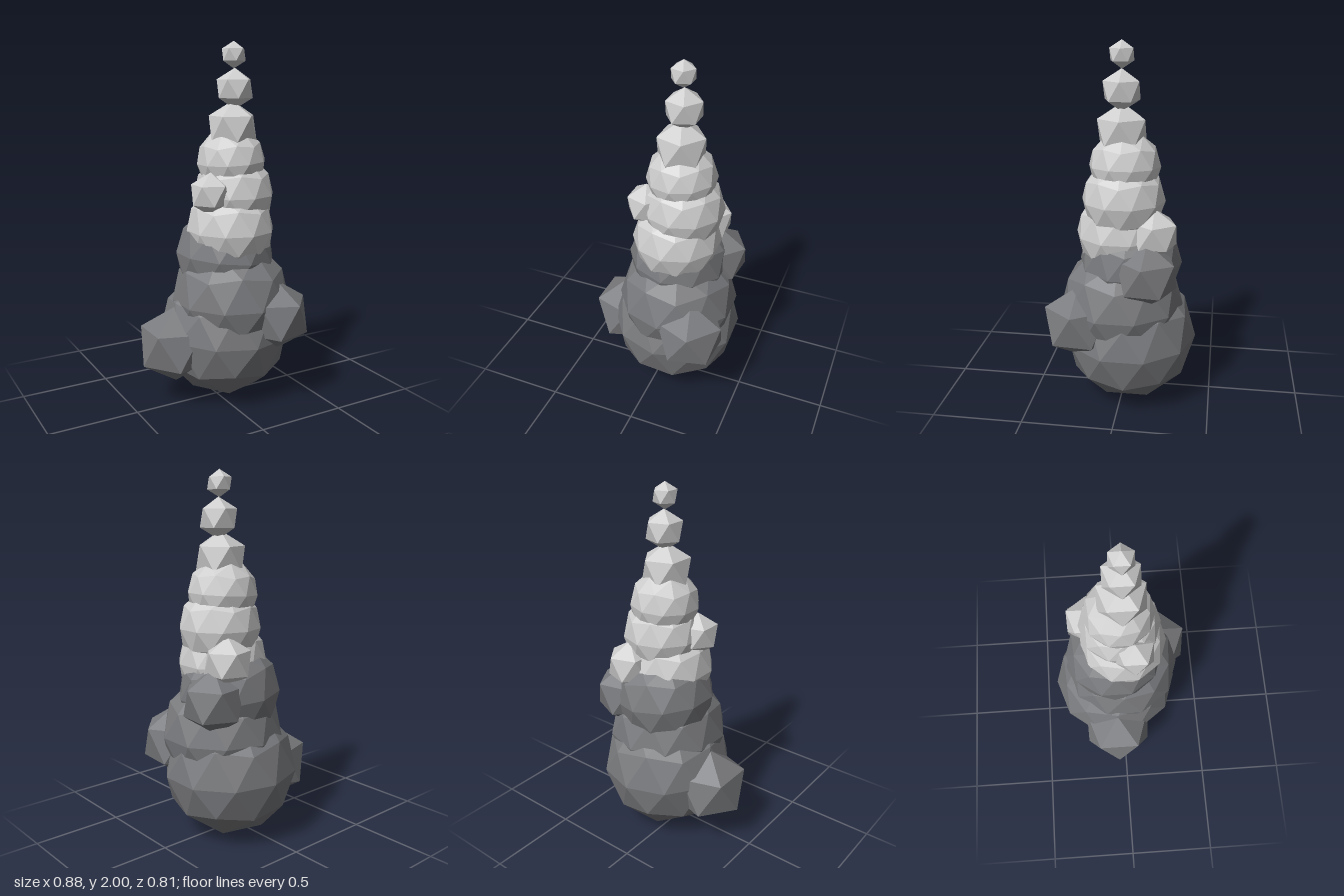
import * as THREE from 'three';

export function createModel() {
  const group = new THREE.Group();
  group.name = 'smokePlume';

  const darkSmoke = new THREE.MeshStandardMaterial({ color: 0x7a7b7e, flatShading: true });
  darkSmoke.name = 'dark smoke';
  const lightSmoke = new THREE.MeshStandardMaterial({ color: 0xcecece, flatShading: true });
  lightSmoke.name = 'light smoke';

  // Faceted ball standing on a corner
  const ball = (detail) => {
    const g = new THREE.IcosahedronGeometry(1, detail);
    g.rotateZ(-Math.atan(2 / (1 + Math.sqrt(5))));
    g.computeVertexNormals();
    return g;
  };
  const chunk = ball(0);
  const puff = ball(1);

  const add = (name, geometry, material, [x, y, z, r, turn = 0, tilt = 0]) => {
    const mesh = new THREE.Mesh(geometry, material);
    mesh.name = name;
    mesh.position.set(x, y, z);
    mesh.scale.setScalar(r);
    mesh.rotation.set(0, turn, tilt);
    group.add(mesh);
  };

  // Column, bottom to top: x, y, z, radius, turn, tilt
  [
    [0.07, 0.375, -0.04, 0.372, 0, -0.03],
    [0.095, 0.58, 0.0, 0.338],
    [0.08, 0.82, -0.045, 0.282, 0, -0.1],
  ].forEach((p, i) => add(`lowerPuff${i + 1}`, puff, darkSmoke, p));
  [
    [0.085, 0.98, 0.005, 0.247],
    [0.115, 1.175, -0.01, 0.225],
    [0.1, 1.355, -0.015, 0.192, 0, 0.06],
  ].forEach((p, i) => add(`upperPuff${i + 1}`, puff, lightSmoke, p));

  // Small coarse puffs at the tip
  [
    [0.1, 1.54, 0, 0.147],
    [0.112, 1.75, 0, 0.11],
    [0.105, 1.928, 0, 0.072],
  ].forEach((p, i) => add(`tipPuff${i + 1}`, chunk, lightSmoke, p));

  // Side chunks breaking out of the column
  add('frontChunk', chunk, darkSmoke, [0.25, 0.51, 0.22, 0.204, -1.33]);
  add('rightChunk', chunk, darkSmoke, [-0.24, 0.34, -0.045, 0.22]);
  add('leftBackChunk', chunk, darkSmoke, [0.28, 0.815, -0.155, 0.178, -0.1]);
  add('backChunk', chunk, lightSmoke, [0.21, 1.02, -0.185, 0.137]);
  add('upperRightChunk', chunk, lightSmoke, [-0.07, 1.195, 0.06, 0.119]);

  return group;
}
